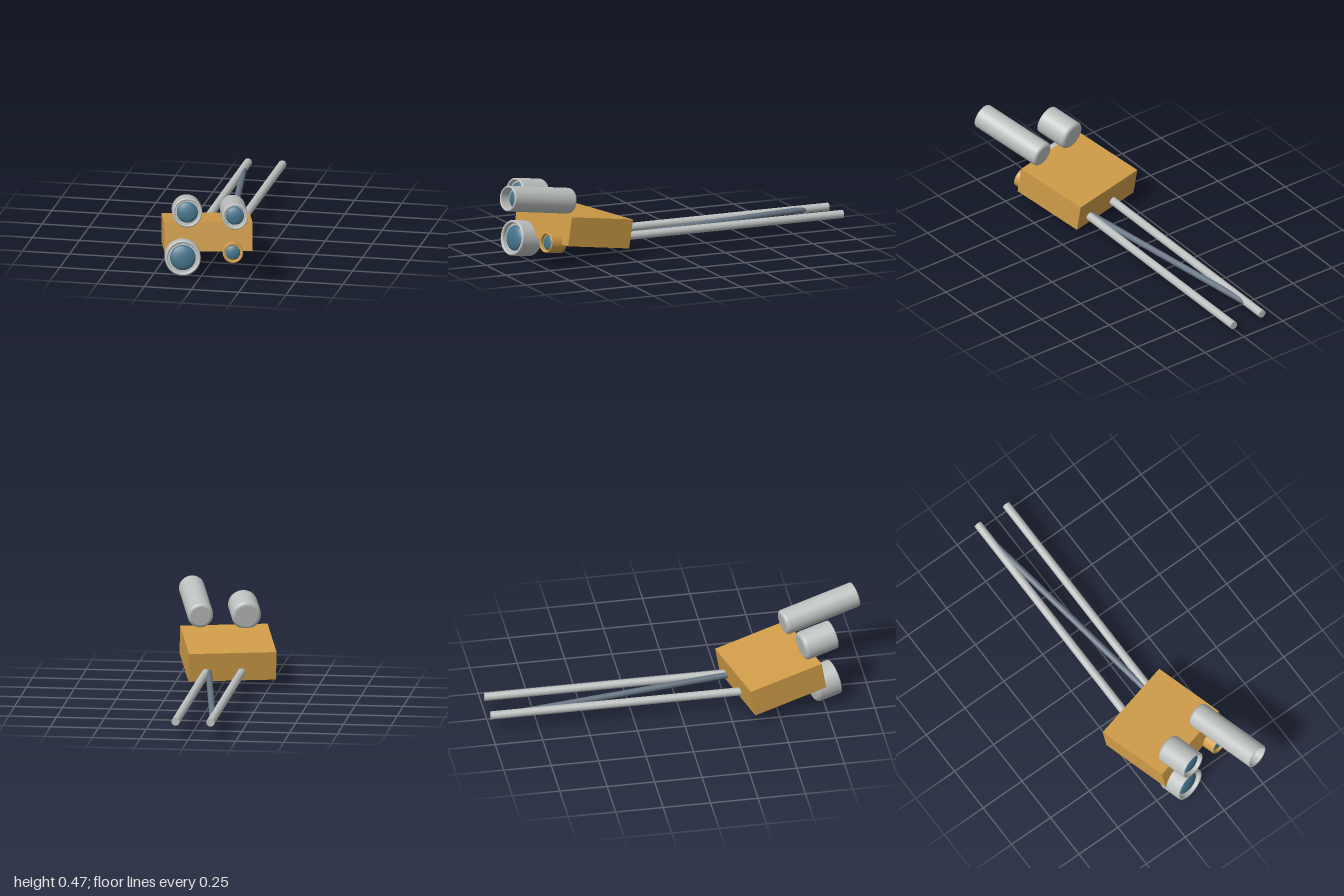
import * as THREE from 'three';

const YAW = 0.24, PITCH = -0.17;

function material(name, color) {
  const m = new THREE.MeshStandardMaterial({ color });
  m.name = name;
  return m;
}

export function createModel() {
  const model = new THREE.Group();
  const grey = material('light grey', 0xbcc0be);
  const ochre = material('ochre', 0xcf9c48);
  const slate = material('slate', 0x687584);
  const blue = material('lens blue', 0x44728a);

  function add(parent, name, geometry, mat) {
    const mesh = new THREE.Mesh(geometry, mat);
    mesh.name = name;
    parent.add(mesh);
    return mesh;
  }

  // Everything on the head shares the same yaw and upward tilt
  function aim(object, x, y, z) {
    object.rotation.set(PITCH, YAW, 0, 'YXZ');
    object.position.set(x, y, z);
  }

  // Round rod between two points
  function rod(name, from, to, radius, mat) {
    const a = new THREE.Vector3(...from), b = new THREE.Vector3(...to);
    const dir = b.clone().sub(a);
    const mesh = add(model, name, new THREE.CylinderGeometry(radius, radius, dir.length(), 24), mat);
    mesh.position.copy(a).add(b).multiplyScalar(0.5);
    mesh.quaternion.setFromUnitVectors(new THREE.Vector3(0, 1, 0), dir.normalize());
  }

  // Lensed barrel: origin at the centre of the front rim, body running to -z
  function barrel(name, [x, y, z], r, length, recess, mat) {
    const group = new THREE.Group();
    group.name = name;
    aim(group, x, y, z);
    const pts = [];
    const p = (px, py) => pts.push(new THREE.Vector2(px, py));
    const arc = (cx, cy, rad, a0, a1, n) => {
      for (let i = 0; i <= n; i++) {
        const a = a0 + (a1 - a0) * i / n;
        p(cx + rad * Math.cos(a), cy + rad * Math.sin(a));
      }
    };
    const bevel = 0.27 * r, lip = 0.085 * r, e = 0.01 * r;
    p(0, -length);
    p(r - bevel - e, -length);
    arc(r - bevel, -length + bevel, bevel, -Math.PI / 2, 0, 8); // rounded rear
    p(r, -lip - e);
    arc(r - lip, -lip, lip, 0, Math.PI, 10);                    // rounded rim
    const inner = r - 2 * lip;
    p(inner, -lip - e);
    p(inner, -recess + e);                                      // bore
    p(inner, -recess);
    p(inner - e, -recess);
    p(0, -recess);                                              // bore floor
    add(group, 'housing', new THREE.LatheGeometry(pts, 48).rotateX(Math.PI / 2), mat);

    const dome = new THREE.SphereGeometry(0.71 * r, 36, 12, 0, Math.PI * 2, 0, Math.PI / 2);
    dome.rotateX(Math.PI / 2).scale(1, 1, 0.35);
    add(group, 'lens', dome, blue).position.z = -recess;
    model.add(group);
  }

  // Tilted head block
  const head = add(model, 'headBlock', new THREE.BoxGeometry(0.457, 0.153, 0.408), ochre);
  aim(head, -0.0235, 0.166, 0.492);

  // Barrels
  barrel('longUpperBarrel', [0.228, 0.407, 0.981], 0.067, 0.418, 0.055, grey);
  barrel('shortUpperBarrel', [-0.06, 0.362, 0.812], 0.077, 0.183, 0.024, grey);
  barrel('largeLowerBarrel', [-0.083, 0.117, 0.818], 0.093, 0.14, 0.025, grey);
  barrel('smallLowerBarrel', [0.165, 0.136, 0.735], 0.053, 0.105, 0.018, ochre);

  // Twin rails and the diagonal brace between them
  const railY = 0.101, railX = [-0.117, 0.065];
  railX.forEach((x, i) => rod(i ? 'leftRail' : 'rightRail', [x, railY, -1], [x, railY, 0.516], 0.0215, grey));
  rod('diagonalBrace', [railX[0], railY, -0.9], [railX[1], railY, 0.38], 0.0165, slate);

  return model;
}
